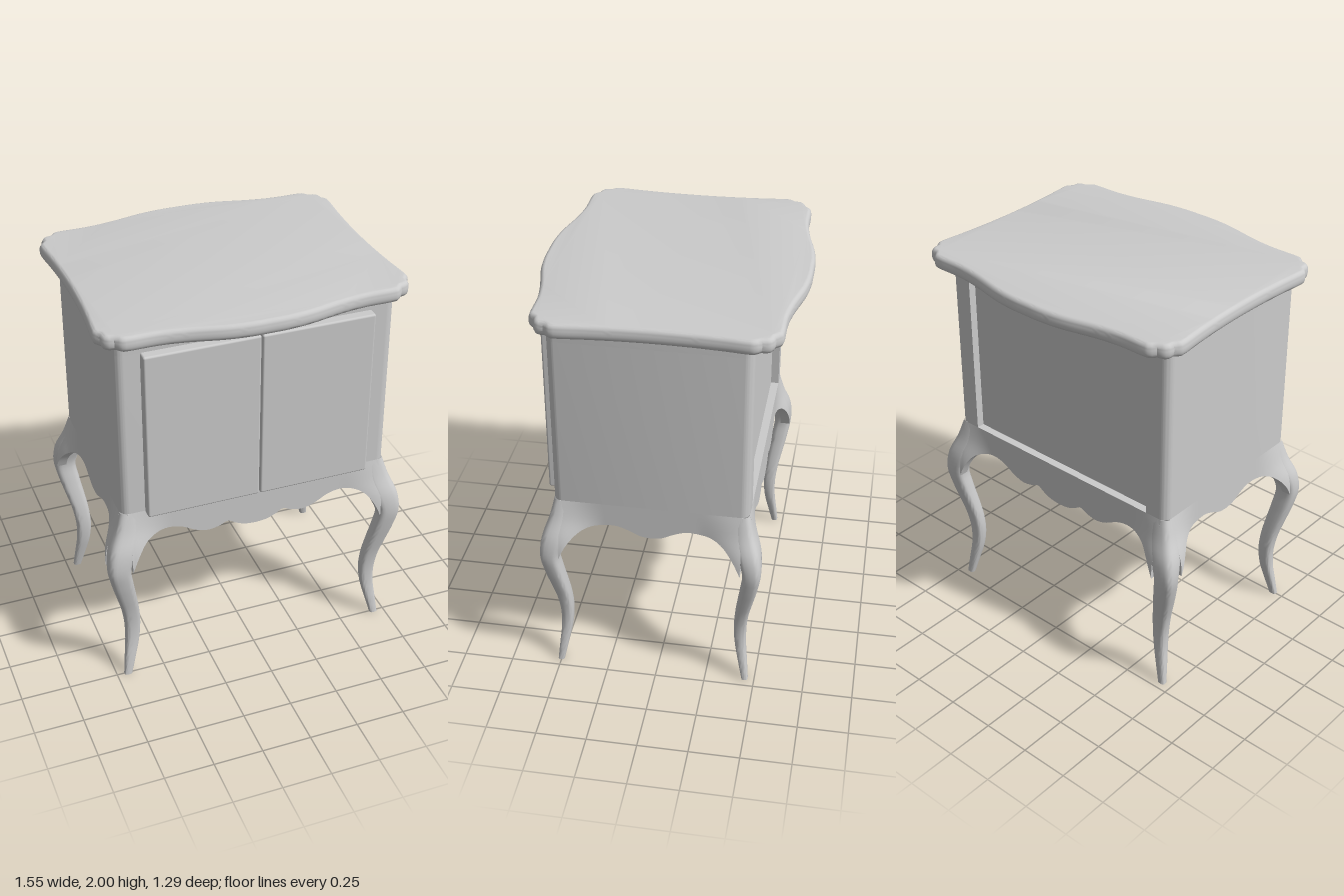
import * as THREE from 'three';
import { toCreasedNormals } from 'three/addons/utils/BufferGeometryUtils.js';
import { RoundedBoxGeometry } from 'three/addons/geometries/RoundedBoxGeometry.js';

const HX = 0.69, HZ = 0.475, CZ = 0.025; // carcass half sizes and z centre
const mat = new THREE.MeshStandardMaterial({ color: 0xcccccc });

// Smooth lookup through a few [position, value] samples
function lookup(pos, val) {
  const f = new THREE.CubicInterpolant(pos, val, 1);
  return (t) => f.evaluate(t)[0];
}

const legY = [0, 0.1, 0.2, 0.3, 0.4, 0.5, 0.6, 0.7, 0.8, 0.9, 1];
const legOuter = lookup(legY, [0.712, 0.7, 0.688, 0.688, 0.703, 0.73, 0.757, 0.775, 0.764, 0.722, 0.69]);
const legInner = lookup(legY, [0.672, 0.645, 0.62, 0.61, 0.616, 0.632, 0.65, 0.662, 0.63, 0.6, 0.59]);
const frontScallop = lookup(
  [0, 0.06, 0.11, 0.143, 0.19, 0.25, 0.31, 0.39, 0.46, 0.53, 0.59, 0.64, 0.67],
  [0.78, 0.787, 0.808, 0.828, 0.81, 0.8, 0.815, 0.857, 0.87, 0.858, 0.82, 0.74, 0.66]);
const sideScallop = lookup(
  [0, 0.05, 0.11, 0.17, 0.24, 0.31, 0.37, 0.42, 0.46],
  [0.825, 0.832, 0.86, 0.88, 0.877, 0.863, 0.825, 0.76, 0.67]);

function add(group, name, geometry) {
  const mesh = new THREE.Mesh(geometry, mat);
  mesh.name = name;
  group.add(mesh);
  return mesh;
}

// Extrude a floor plan (x, -z) upwards from y0 to y1
function extrudeUp(shape, y0, y1) {
  return new THREE.ExtrudeGeometry(shape, { depth: y1 - y0, bevelEnabled: false, curveSegments: 8 })
    .rotateX(-Math.PI / 2).translate(0, y0, CZ);
}

// Carcass plan with rounded corners and an optional recess in the back
function carcassPlan(recess) {
  const r = 0.045, s = new THREE.Shape();
  s.moveTo(-HX + r, -HZ);
  s.lineTo(HX - r, -HZ);
  s.absarc(HX - r, -HZ + r, r, -Math.PI / 2, 0);
  s.lineTo(HX, HZ - r);
  s.absarc(HX - r, HZ - r, r, 0, Math.PI / 2);
  if (recess) {
    s.lineTo(0.57, HZ);
    s.lineTo(0.57, HZ - recess);
    s.lineTo(-0.57, HZ - recess);
    s.lineTo(-0.57, HZ);
  }
  s.lineTo(-HX + r, HZ);
  s.absarc(-HX + r, HZ - r, r, Math.PI / 2, Math.PI);
  s.lineTo(-HX, -HZ + r);
  s.absarc(-HX + r, -HZ + r, r, Math.PI, Math.PI * 1.5);
  return s;
}

// Cabriole leg: rounded-square rings stacked along an S-curve
function legGeometry(sx, sz) {
  const rings = 40, sides = 24, pos = [], idx = [];
  const zOf = (x) => HZ + (x - HX) * 0.8;
  const power = (v) => Math.sign(v) * Math.abs(v) ** 0.62;
  for (let j = 0; j <= rings; j++) {
    const y = j / rings, o = legOuter(y), i = legInner(y);
    const cx = sx * (o + i) / 2, cz = CZ + sz * (zOf(o) + zOf(i)) / 2;
    const rx = (o - i) / 2, rz = (zOf(o) - zOf(i)) / 2;
    for (let k = 0; k < sides; k++) {
      const a = (k / sides) * Math.PI * 2;
      pos.push(cx + rx * power(Math.cos(a)), y, cz + rz * power(Math.sin(a)));
    }
  }
  for (let j = 0; j < rings; j++) {
    for (let k = 0; k < sides; k++) {
      const a = j * sides + k, b = j * sides + (k + 1) % sides;
      idx.push(a, a + sides, b, b, a + sides, b + sides);
    }
  }
  // Foot sole
  for (let k = 1; k < sides - 1; k++) idx.push(0, k, k + 1);
  const g = new THREE.BufferGeometry();
  g.setAttribute('position', new THREE.Float32BufferAttribute(pos, 3));
  g.setIndex(idx);
  return toCreasedNormals(g, 0.9);
}

// Apron: scalloped lower edge, flaring outwards into the knees at both ends
function apronGeometry(halfLength, scallop, flare) {
  const g = new THREE.BoxGeometry(halfLength * 2, 1, 0.05, 96, 10, 1);
  const p = g.attributes.position;
  for (let i = 0; i < p.count; i++) {
    const u = Math.abs(p.getX(i));
    const y = THREE.MathUtils.lerp(scallop(u), 1, p.getY(i) + 0.5);
    const w = THREE.MathUtils.smoothstep(u, halfLength - 0.22, halfLength);
    p.setY(i, y);
    p.setZ(i, p.getZ(i) - 0.025 + (legOuter(y) - HX) * w * flare);
  }
  g.computeVertexNormals();
  return g;
}

// Serpentine table top with lobed corners and a rounded edge
function topGeometry() {
  const quarter = [[0.745, 0], [0.748, 0.15], [0.757, 0.3], [0.769, 0.44], [0.766, 0.468], [0.748, 0.478],
    [0.745, 0.51], [0.728, 0.535], [0.69, 0.545], [0.676, 0.568], [0.65, 0.574], [0.5, 0.576],
    [0.38, 0.592], [0.2, 0.632], [0.09, 0.644], [0, 0.645]];
  const mirror = (pts, sx, sy) => pts.map(([x, y]) => [x * sx, y * sy]).reverse();
  const half = [...quarter, ...mirror(quarter, -1, 1).slice(1)];
  const loop = [...half, ...mirror(half, 1, -1).slice(1, -1)];
  const curve = new THREE.CatmullRomCurve3(loop.map(([x, y]) => new THREE.Vector3(x, y, 0)), true);
  const pts = curve.getSpacedPoints(240).slice(0, -1).map((v) => new THREE.Vector2(v.x, v.y));
  const g = new THREE.ExtrudeGeometry(new THREE.Shape(pts), {
    depth: 0.015, bevelEnabled: true, bevelThickness: 0.03, bevelSize: 0.022, bevelOffset: -0.022, bevelSegments: 5,
  });
  g.rotateX(-Math.PI / 2).translate(0, 1.955, 0);
  return toCreasedNormals(g, 0.7);
}

export function createModel() {
  const model = new THREE.Group();
  model.name = 'cabinet';

  add(model, 'tableTop', topGeometry());

  // Carcass with recessed back panel, top rail and floor
  add(model, 'carcass', toCreasedNormals(extrudeUp(carcassPlan(0.04), 1, 1.87), 0.6));
  add(model, 'topRail', toCreasedNormals(extrudeUp(carcassPlan(0), 1.87, 1.935), 0.6));
  add(model, 'floor', new THREE.BoxGeometry(1.32, 0.08, 0.89)).position.set(0, 0.96, CZ);

  // Pair of doors standing proud of the front
  for (const s of [1, -1]) {
    const door = add(model, s > 0 ? 'leftDoor' : 'rightDoor', new RoundedBoxGeometry(0.566, 0.88, 0.07, 3, 0.01));
    door.position.set(s * 0.286, 1.43, 0.515);
  }

  // Aprons on all four sides
  const longApron = apronGeometry(0.66, frontScallop, 0.76);
  const sideApron = apronGeometry(0.445, sideScallop, 0.95);
  add(model, 'frontApron', longApron).position.z = CZ + HZ;
  const back = add(model, 'backApron', longApron);
  back.position.z = CZ - HZ;
  back.rotation.y = Math.PI;
  for (const s of [1, -1]) {
    const side = add(model, s > 0 ? 'leftApron' : 'rightApron', sideApron);
    side.position.set(s * HX, 0, CZ);
    side.rotation.y = s * Math.PI / 2;
  }

  // Four curved legs
  for (const sx of [1, -1]) {
    for (const sz of [1, -1]) {
      add(model, (sz > 0 ? 'front' : 'back') + (sx > 0 ? 'Left' : 'Right') + 'Leg', legGeometry(sx, sz));
    }
  }
  return model;
}
